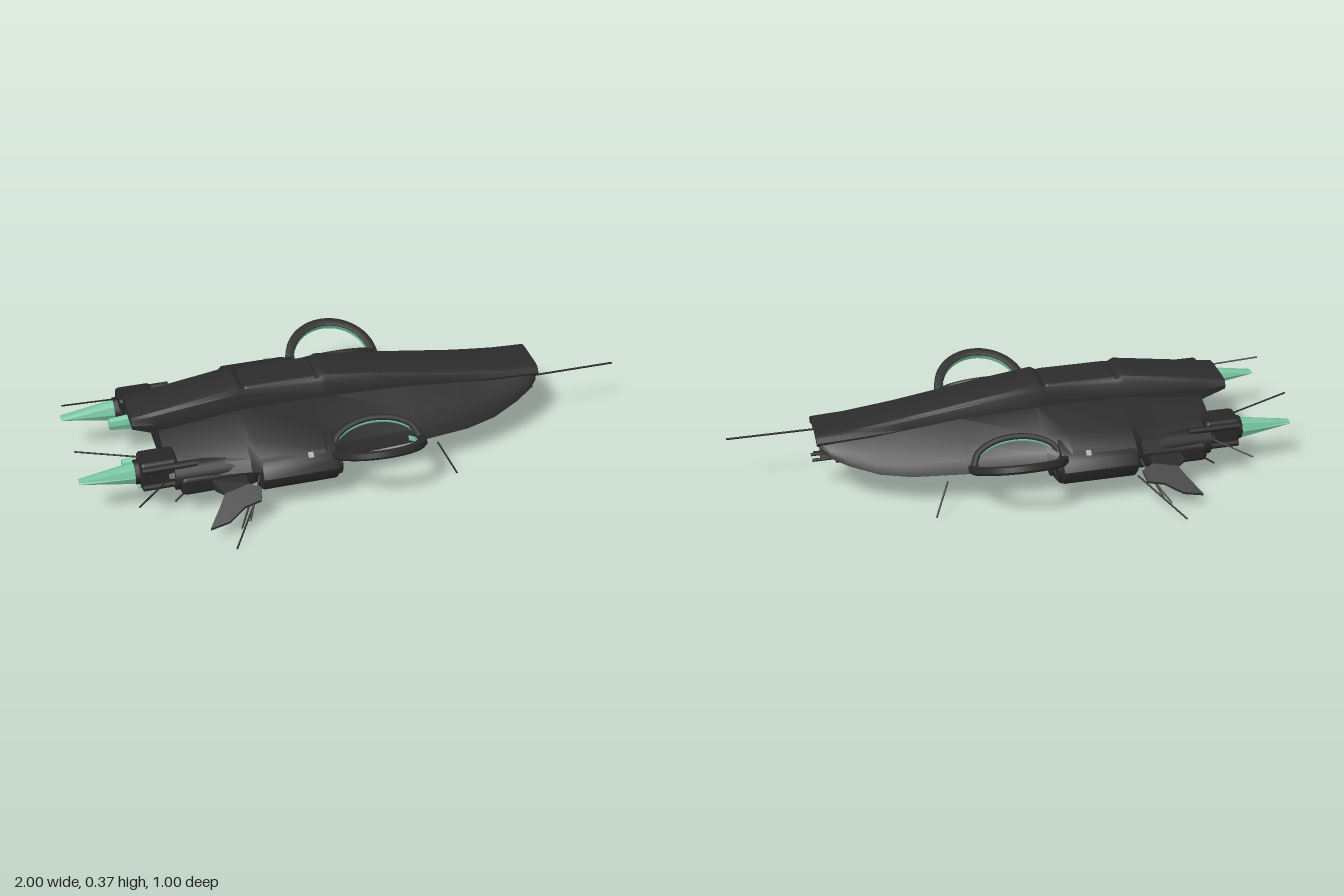
import * as THREE from 'three';
import { toCreasedNormals } from 'three/addons/utils/BufferGeometryUtils.js';
import { RoundedBoxGeometry } from 'three/addons/geometries/RoundedBoxGeometry.js';

const mat = (name, color) => Object.assign(new THREE.MeshStandardMaterial({ color }), { name });

export function createModel() {
  const hullDark = mat('hull charcoal', 0x2c2c2c);
  const machineDark = mat('machinery black', 0x272727);
  const glow = mat('engine green', 0x78c4a0);
  glow.side = THREE.DoubleSide;
  const grey = mat('marking grey', 0xa8a8a8);
  const root = new THREE.Group();
  root.name = 'spacecraft';
  const V = (x, y, z) => new THREE.Vector3(x, y, z);
  const outline = (pts) => pts.map(p => new THREE.Vector2(...p));

  const add = (name, geo, material, parent = root, x = 0, y = 0, z = 0) => {
    const m = new THREE.Mesh(geo, material);
    m.name = name;
    m.position.set(x, y, z);
    parent.add(m);
    return m;
  };

  // Skin along x through mirrored sections: [x, [[z, y], ...]] listed from top centre to bottom centre
  const loft = (sections) => {
    const pos = [], idx = [];
    const n = sections[0][1].length * 2 - 2;
    for (const [x, half] of sections) {
      const ring = [...half.map(([z, y]) => [-z, y]), ...half.slice(1, -1).reverse()];
      for (const [z, y] of ring) pos.push(x, y, z);
    }
    const last = sections.length - 1;
    for (let i = 0; i < last; i++) for (let j = 0; j < n; j++) {
      const a = i * n + j, b = a + n, c = i * n + (j + 1) % n, d = c + n;
      idx.push(a, b, c, b, d, c);
    }
    for (let j = 1; j < n - 1; j++) {
      idx.push(0, j, j + 1, last * n, last * n + j + 1, last * n + j);
    }
    const g = new THREE.BufferGeometry();
    g.setAttribute('position', new THREE.Float32BufferAttribute(pos, 3));
    g.setIndex(idx);
    return toCreasedNormals(g, 0.5);
  };

  const tubeX = (name, r0, r1, x0, x1, y, z, material, parent, sides = 20) => {
    const g = new THREE.CylinderGeometry(r1, r0, x1 - x0, sides).rotateZ(-Math.PI / 2);
    return add(name, g, material, parent, (x0 + x1) / 2, y, z);
  };

  const rod = (name, a, b, r, parent) =>
    add(name, new THREE.TubeGeometry(new THREE.LineCurve3(V(...a), V(...b)), 1, r, 6), machineDark, parent);

  // Central spine with the sunken canopy and a hooded nose: x, top, shoulder, bottom
  const spine = [
    [-0.79, 0.31, 0.29, 0.275], [-0.7, 0.325, 0.28, 0.24], [-0.41, 0.372, 0.29, 0.2],
    [-0.39, 0.36, 0.29, 0.2], [-0.12, 0.36, 0.29, 0.2], [-0.1, 0.373, 0.29, 0.2],
    [0.1, 0.345, 0.28, 0.2], [0.4, 0.297, 0.26, 0.2], [0.58, 0.274, 0.25, 0.21], [0.7, 0.268, 0.245, 0.232],
  ];
  add('spine', loft(spine.map(([x, t, s, b]) => {
    const h = t - s, under = x > 0.55 ? t - 0.014 : b;
    return [x, [[0, t], [0.055, t], [0.072, t - h * 0.08], [0.083, t - h * 0.3], [0.094, s], [0.09, b],
      [0.076, under], [0, under]]];
  })), hullDark);
  add('canopy', new RoundedBoxGeometry(0.28, 0.05, 0.15, 3, 0.02), hullDark, root, -0.255, 0.338, 0);

  // Main hull with a hollowed underside: x, shoulder, edge z, edge y, belly y
  const hull = [
    [-0.7, 0.255, 0.265, 0.17, 0.13], [-0.42, 0.29, 0.305, 0.17, 0.105], [-0.39, 0.292, 0.335, 0.185, 0.105],
    [-0.16, 0.293, 0.335, 0.185, 0.1], [-0.08, 0.292, 0.283, 0.155, 0.1],
    [0.2, 0.28, 0.25, 0.145, 0.1], [0.39, 0.262, 0.22, 0.142, 0.105], [0.5, 0.25, 0.19, 0.15, 0.13],
    [0.6, 0.245, 0.15, 0.175, 0.16], [0.66, 0.242, 0.12, 0.198, 0.19], [0.69, 0.24, 0.093, 0.215, 0.212],
  ];
  add('hull', loft(hull.map(([x, s, z, y, b]) => {
    const under = x > 0.55 ? s - 0.01 : b;
    return [x, [
      [0, s], [0.088, s], [0.088 + (z - 0.088) * 0.6, s - (s - y) * 0.4],
      [0.088 + (z - 0.088) * 0.88, s - (s - y) * 0.68], [z, y], [0.08 + (z - 0.08) * 0.9, y],
      [0.08 + (z - 0.08) * 0.55, y + (s - y) * 0.2], [0.08, b + (y - b) * 0.5], [0.075, under], [0, under],
    ]];
  })), hullDark);

  // Belly keel and nose fittings
  add('bellyKeel', new RoundedBoxGeometry(0.98, 0.06, 0.15, 2, 0.015), machineDark, root, -0.1, 0.13, 0);
  add('noseBlock', new RoundedBoxGeometry(0.2, 0.1, 0.11, 2, 0.02), machineDark, root, 0.5, 0.19, 0);
  const frame = new THREE.Shape(outline([[-0.04, 0.13], [0.04, 0.13], [0.06, 0.15], [0.06, 0.25], [-0.06, 0.25], [-0.06, 0.15]]));
  frame.holes.push(new THREE.Path(outline([[-0.04, 0.15], [-0.04, 0.235], [0.04, 0.235], [0.04, 0.15]])));
  add('noseFrame', new THREE.ExtrudeGeometry(frame, { depth: 0.03, bevelEnabled: false }).rotateY(Math.PI / 2),
    machineDark, root, 0.6, 0, 0);
  add('noseHatch', new THREE.BoxGeometry(0.04, 0.06, 0.06), machineDark, root, 0.61, 0.195, 0);
  add('sensorBall', new THREE.SphereGeometry(0.018, 16, 12), machineDark, root, 0.5, 0.096, 0);
  rod('sensorStem', [0.5, 0.1, 0], [0.51, 0.15, 0], 0.008, root);
  tubeX('noseGun', 0.018, 0.012, 0.5, 0.68, 0.138, 0, machineDark, root, 12);
  for (const z of [-0.02, 0.02]) tubeX('gunBarrel', 0.006, 0.006, 0.55, 0.71, 0.14, z, machineDark, root, 8);
  rod('noseAntenna', [0.64, 0.217, 0.065], [1, 0.217, 0.065], 0.0035, root);
  rod('shortAntenna', [0.62, 0.19, -0.05], [0.71, 0.19, -0.05], 0.003, root);

  // Side assembly, built on +z
  const buildSide = (name) => {
    const g = new THREE.Group();
    g.name = name;
    root.add(g);

    // Nacelle wrapping under the hull
    const profile = [[0.1, 0.052], [0.1, 0.085], [0.14, 0.18], [0.17, 0.25], [0.25, 0.235], [0.3, 0.218],
      [0.335, 0.195], [0.354, 0.162], [0.346, 0.13], [0.32, 0.1], [0.28, 0.08], [0.2, 0.059], [0.13, 0.047]];
    const shape = new THREE.Shape(outline(profile.map(([z, y]) => [-z, y])));
    const nacelle = new THREE.ExtrudeGeometry(shape, {
      depth: 0.25, bevelThickness: 0.012, bevelSize: 0.008, bevelOffset: -0.008, bevelSegments: 2,
    }).rotateY(Math.PI / 2);
    add('nacelle', toCreasedNormals(nacelle, 0.6), hullDark, g, -0.38, 0, 0);
    [[0.3, 0.15, 0.034], [0.2, 0.1, 0.024], [0.122, 0.078, 0.018]].forEach(([z, y, r]) => {
      tubeX('intake', r, r, -0.14, -0.108, y, z, machineDark, g);
      add('intakeLip', new THREE.TorusGeometry(r, 0.006, 8, 24).rotateY(Math.PI / 2), machineDark, g, -0.11, y, z);
    });

    // Underside pipes
    tubeX('bellyPipe', 0.042, 0.036, -0.65, 0.32, 0.143, 0.14, machineDark, g);
    tubeX('bellyPipeNozzle', 0.032, 0.026, 0.3, 0.45, 0.148, 0.13, machineDark, g);
    tubeX('outerPipe', 0.025, 0.018, -0.12, 0.3, 0.15, 0.205, machineDark, g, 12);

    // Rear engine housing, nozzles and exhaust
    tubeX('engineHousing', 0.05, 0.06, -0.68, -0.38, 0.16, 0.235, machineDark, g);
    add('engineFairing', new RoundedBoxGeometry(0.27, 0.075, 0.07, 2, 0.02), machineDark, g, -0.53, 0.14, 0.258);
    add('engineBlock', new RoundedBoxGeometry(0.13, 0.11, 0.1, 2, 0.015), machineDark, g, -0.73, 0.18, 0.205);
    tubeX('nozzle', 0.042, 0.05, -0.81, -0.74, 0.175, 0.2, machineDark, g, 12);
    tubeX('innerNozzle', 0.022, 0.034, -0.73, -0.64, 0.165, 0.13, machineDark, g, 12);
    for (const y of [0.21, 0.14]) tubeX('enginePipe', 0.012, 0.012, -0.79, -0.6, y, 0.252, machineDark, g, 10);
    const flame = (part, x0, x1, y, z, tip, base) => {
      const section = ([w, h]) => [[0, h], [w * 0.7, h * 0.75], [w, 0], [w * 0.7, -h * 0.75], [0, -h]];
      add(part, loft([[x0, section(tip)], [x1, section(base)]]), glow, g, 0, y, z);
    };
    flame('mainExhaust', -1, -0.79, 0.172, 0.2, [0.018, 0.005], [0.038, 0.042]);
    flame('innerExhaust', -0.84, -0.7, 0.16, 0.13, [0.018, 0.022], [0.021, 0.038]);
    add('exhaustStrip', new THREE.BoxGeometry(0.1, 0.009, 0.06), glow, g, -0.75, 0.122, 0.19);

    // Tilted ring with a glowing inner face
    const ring = new THREE.Group();
    ring.name = 'sideRing';
    ring.position.set(0.03, 0.186, 0.295);
    ring.rotation.x = -0.44;
    g.add(ring);
    const ringProfile = [[0.142, -0.01], [0.165, -0.016], [0.174, -0.008], [0.174, 0.01], [0.164, 0.015], [0.142, 0.011], [0.142, -0.01]];
    add('ringBody', toCreasedNormals(new THREE.LatheGeometry(outline(ringProfile), 56), 0.7), hullDark, ring);
    add('ringGlow', new THREE.CylinderGeometry(0.1405, 0.1405, 0.018, 56, 1, true), glow, ring);

    // Arched lip where the ring enters the hull, with a glow tucked beneath
    const arch = (dy, dz) => new THREE.CatmullRomCurve3([0, 1, 2, 3, 4, 5, 6].map(i => {
      const a = Math.PI * i / 6, s = Math.sin(a);
      return V(0.03 - 0.157 * Math.cos(a), 0.188 + dy + 0.066 * s, 0.285 - 0.066 * s + dz);
    }));
    add('recessLip', new THREE.TubeGeometry(arch(0, 0), 36, 0.012, 8), hullDark, g);
    add('recessGlow', new THREE.TubeGeometry(arch(-0.009, 0.004), 36, 0.008, 6), glow, g);

    // Swept fin, sloping down and outward
    const fin = new THREE.Shape(outline([[-0.6, 0.44], [-0.53, 0.43], [-0.47, 0.4], [-0.41, 0.39], [-0.4, 0.36],
      [-0.44, 0.345], [-0.44, 0.29], [-0.56, 0.29], [-0.56, 0.345], [-0.53, 0.36], [-0.55, 0.385]]));
    const finGeo = new THREE.ExtrudeGeometry(fin, { depth: 0.008, bevelEnabled: false }).rotateX(Math.PI / 2);
    const fp = finGeo.attributes.position;
    for (let i = 0; i < fp.count; i++) {
      fp.setY(i, fp.getY(i) + 0.155 - Math.max(0, fp.getZ(i) - 0.345) * 0.95);
    }
    finGeo.computeVertexNormals();
    add('fin', finGeo, hullDark, g);

    // Whisker antennas
    [
      [[-0.4, 0.09, 0.31], [-0.525, 0.006, 0.5]],
      [[-0.42, 0.12, 0.33], [-0.49, 0.035, 0.43]],
      [[-0.4, 0.17, 0.33], [-0.46, 0.06, 0.43]],
      [[0.27, 0.12, 0.24], [0.325, 0.018, 0.305]],
      [[-0.68, 0.17, 0.24], [-0.82, 0.12, 0.33]],
      [[-0.72, 0.215, 0.2], [-1, 0.26, 0.145]],
      [[-0.62, 0.13, 0.26], [-0.69, 0.09, 0.29]],
    ].forEach(([a, b]) => rod('whisker', a, b, 0.0032, g));

    // Small pale hull marking
    const mark = add('hullMarking', new THREE.BoxGeometry(0.018, 0.006, 0.02), grey, g, -0.215, 0.212, 0.318);
    mark.rotation.x = 0.72;
    return g;
  };

  // Both sides, the far one mirrored
  buildSide('frontSideAssembly');
  buildSide('rearSideAssembly').scale.z = -1;
  return root;
}
